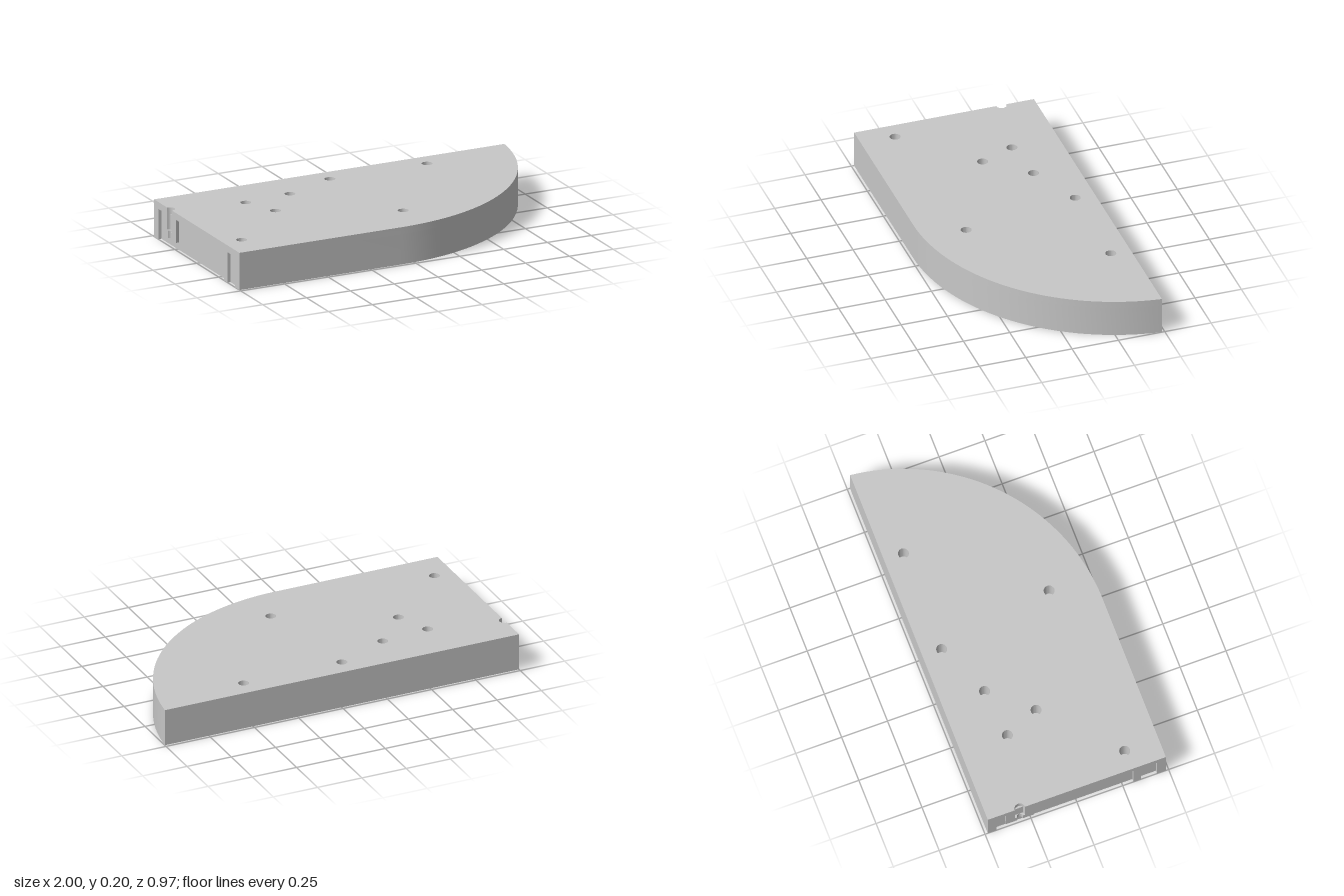
import * as THREE from 'three';
import { toCreasedNormals } from 'three/addons/utils/BufferGeometryUtils.js';

const TOP = 0.2, UNDER = 0.163; // top of plate, underside of plate
const BACK = -0.485, FRONT = 0.485, WALL = 0.048;
const CX = -0.08, CZ = -0.6, R = 1.085; // circle of the rounded edge
const BORE = 0.028, PIN = 0.016, BOSS = 0.076;
const HALF_Z = -0.31; // boss cut in half by the left edge

const bossSpots = [
  [-0.605, -0.23], [-0.528, -0.045], [-0.34, -0.255], [-0.05, -0.38],
  [0.505, -0.38], [0.055, 0.245], [-0.895, 0.3],
];

// Points of the rounded edge, from the back corner to the front, inset by d
function arcPoints(d) {
  const r = R - d, start = Math.asin((BACK + d - CZ) / r), pts = [];
  for (let i = 0; i <= 40; i++) {
    const a = start + (Math.PI / 2 - start) * i / 40;
    pts.push(new THREE.Vector2(CX + r * Math.cos(a), CZ + r * Math.sin(a)));
  }
  return pts;
}

// Extrude an (x, z) shape between two heights
function slab(shape, y0, y1) {
  const g = new THREE.ExtrudeGeometry(shape, { depth: y1 - y0, bevelEnabled: false, curveSegments: 24 });
  g.rotateX(Math.PI / 2).translate(0, y1, 0);
  return toCreasedNormals(g, 0.5);
}

export function createModel() {
  const model = new THREE.Group();
  const grey = new THREE.MeshStandardMaterial({ color: 0xc8c8c8 });
  grey.name = 'grey plastic';

  const add = (name, geometry) => {
    const mesh = new THREE.Mesh(geometry, grey);
    mesh.name = name;
    model.add(mesh);
    return mesh;
  };
  const box = (name, x0, x1, z0, z1) => add(name,
    new THREE.BoxGeometry(x1 - x0, UNDER, z1 - z0)
      .translate((x0 + x1) / 2, UNDER / 2, (z0 + z1) / 2));

  // Top plate with screw holes and a half hole in the left edge
  const notch = [];
  for (let i = 0; i <= 12; i++) {
    const a = Math.PI / 2 - Math.PI * i / 12;
    notch.push(new THREE.Vector2(-1 + BORE * Math.cos(a), HALF_Z + BORE * Math.sin(a)));
  }
  const plate = new THREE.Shape([
    new THREE.Vector2(-1, BACK), ...arcPoints(0), new THREE.Vector2(-1, FRONT), ...notch,
  ]);
  for (const [x, z] of bossSpots) {
    plate.holes.push(new THREE.Path().absarc(x, z, BORE, 0, Math.PI * 2, true));
  }
  add('topPlate', slab(plate, UNDER, TOP));

  // Outer wall along the back, the rounded edge and the front
  const rim = new THREE.Shape([
    new THREE.Vector2(-1, BACK), ...arcPoints(0), new THREE.Vector2(-1, FRONT),
    new THREE.Vector2(-1, FRONT - WALL), ...arcPoints(WALL).reverse(),
    new THREE.Vector2(-1, BACK + WALL),
  ]);
  add('outerWall', slab(rim, 0, UNDER));

  // Recessed left wall and stiffening ribs, broken where a screw passes
  box('leftWall', -0.983, -0.94, BACK + 0.02, FRONT - 0.02);
  box('longRib', -1, -0.925, 0.309, 0.349);
  box('longRib', -0.865, 0.43, 0.309, 0.349);
  box('middleRib', -0.366, -0.326, BACK + 0.02, -0.285);
  box('middleRib', -0.366, -0.326, -0.225, FRONT - 0.02);
  box('rightRib', 0.408, 0.448, BACK + 0.02, 0.33);

  // Screw bosses with a stepped bore
  const profile = [
    [BORE, TOP], [BORE, 0.08], [PIN, 0.08], [PIN, 0.04], [BOSS, 0.04], [BOSS, UNDER],
  ].map(([r, y]) => new THREE.Vector2(r, y));
  const bossGeometry = toCreasedNormals(new THREE.LatheGeometry(profile, 24), 0.5);
  for (const [x, z] of bossSpots) add('screwBoss', bossGeometry).position.set(x, 0, z);

  // Half boss on the left edge, with its flat cut faces
  const half = toCreasedNormals(new THREE.LatheGeometry(profile, 12, 0, Math.PI), 0.5);
  add('halfBoss', half).position.set(-1, 0, HALF_Z);
  for (const side of [-1, 1]) {
    const section = [...profile.slice(1), new THREE.Vector2(BORE, UNDER)]
      .map(p => new THREE.Vector2(p.x * side, p.y));
    const cut = new THREE.ShapeGeometry(new THREE.Shape(section)).rotateY(-Math.PI / 2);
    add('halfBossCut', cut).position.set(-1, 0, HALF_Z);
  }
  return model;
}
